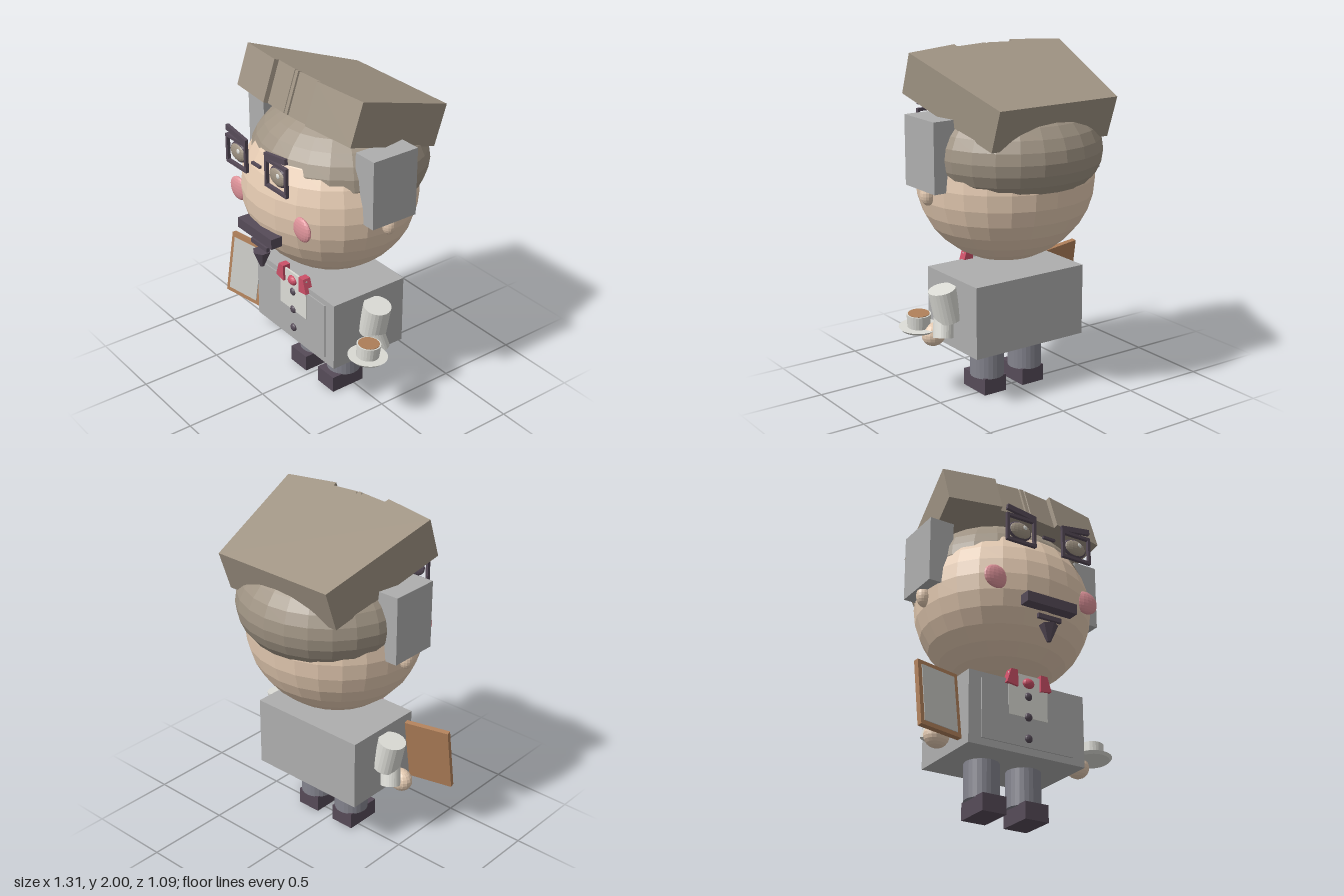
import * as THREE from 'three';

const mat = (name, color) => {
  const m = new THREE.MeshStandardMaterial({ color });
  m.name = name;
  return m;
};

export function createModel() {
  const hair = mat('hair brown', 0xa09484);
  const skin = mat('skin', 0xe6ccb3);
  const grey = mat('cloth grey', 0xaeaeae);
  const white = mat('shirt white', 0xdcdcd6);
  const page = mat('page grey', 0xc6c6c2);
  const dark = mat('dark plum', 0x564b58);
  const pink = mat('cheek pink', 0xdf949b);
  const red = mat('collar red', 0xcc5068);
  const wood = mat('wood brown', 0xb0805a);
  const trousers = mat('trouser grey', 0x84848e);

  const model = new THREE.Group();
  const root = new THREE.Group(); // centre line of the figure
  root.name = 'figure';
  root.position.x = 0.025;
  model.add(root);

  // Faceted mesh helper
  const add = (name, geo, material, pos = [0, 0, 0], rot = [0, 0, 0], parent = root) => {
    const g = geo.index ? geo.toNonIndexed() : geo;
    g.computeVertexNormals();
    const mesh = new THREE.Mesh(g, material);
    mesh.name = name;
    mesh.position.set(...pos);
    mesh.rotation.set(...rot);
    parent.add(mesh);
    return mesh;
  };
  const box = (w, h, d) => new THREE.BoxGeometry(w, h, d);
  const ball = (rx, ry, rz, seg = 16) =>
    new THREE.SphereGeometry(1, seg, Math.round(seg * 2 / 3)).scale(rx, ry, rz);
  const tube = (rt, rb, h, seg = 24) => new THREE.CylinderGeometry(rt, rb, h, seg);
  const extrude = (points, depth, holes = []) => {
    const s = new THREE.Shape(points.map(p => new THREE.Vector2(...p)));
    holes.forEach(h => s.holes.push(new THREE.Path(h.map(p => new THREE.Vector2(...p)))));
    return new THREE.ExtrudeGeometry(s, { depth, bevelEnabled: false });
  };
  const rect = (w, h) => [[-w / 2, -h / 2], [w / 2, -h / 2], [w / 2, h / 2], [-w / 2, h / 2]];

  // Head and rounded hair
  add('head', ball(0.522, 0.485, 0.49, 24), skin, [0, 1.27, 0.02]);
  add('hairCap', ball(0.515, 0.335, 0.495, 24), hair, [0, 1.445, -0.05]);

  // Tilted hair block, with the fringe split into locks
  const half = [[0.012, 0.012], [0.016, 0.035], [0.022, 0.015], [0.186, 0.028], [0.19, 0], [0.515, 0.05]];
  const plan = [
    ...half.slice().reverse().map(([x, y]) => [-x, y]), ...half,
    [0.39, 0.77], [-0.39, 0.77],
  ];
  add('hairBlock', extrude(plan, 0.245).rotateX(-Math.PI / 2), hair, [0, 1.77, 0.327], [-0.331, 0, 0]);

  // Paired features of the head
  for (const s of [-1, 1]) {
    add('sideHair', box(0.15, 0.395, 0.295), grey, [s * 0.495, 1.4625, 0.0225]);
    add('ear', ball(0.045, 0.065, 0.04), skin, [s * 0.52, 1.235, 0.02]);
    add('cheek', ball(0.076, 0.07, 0.024), pink, [s * 0.3, 1.238, 0.433]);
    add('glassesFrame', extrude(rect(0.193, 0.17), 0.02, [rect(0.16, 0.135)]), dark, [s * 0.185, 1.525, 0.5]);
    add('eyeRim', ball(0.078, 0.058, 0.02), dark, [s * 0.185, 1.525, 0.495]);
    add('eye', ball(0.07, 0.05, 0.02), hair, [s * 0.185, 1.525, 0.501]);
    add('eyeGlint', ball(0.015, 0.015, 0.006, 10), white, [s * 0.185 + 0.022, 1.542, 0.517]);
    add('eyebrow', box(0.19, 0.032, 0.02), dark, [s * 0.182, 1.635, 0.51], [0, 0, s * 0.15]);
  }
  add('glassesBridge', box(0.078, 0.015, 0.015), dark, [0, 1.525, 0.51]);
  add('moustache', box(0.322, 0.06, 0.07), dark, [0, 1.115, 0.502]);
  add('mouth', box(0.15, 0.026, 0.02), dark, [0, 1.032, 0.5]);
  add('goatee', tube(0.053, 0.012, 0.098, 6), dark, [0, 0.943, 0.492]);

  // Torso, waistcoat panel and shirt
  add('torso', box(0.745, 0.42, 0.5), grey, [0, 0.52, 0.025]);
  add('waistcoat', box(0.59, 0.345, 0.008), grey, [0, 0.523, 0.278]);
  add('shirtFront', box(0.25, 0.25, 0.012), white, [0, 0.645, 0.28]);
  [0.645, 0.525, 0.4].forEach(y => add('button', ball(0.024, 0.024, 0.016), dark, [0, y, 0.284]));
  add('collarStud', ball(0.037, 0.03, 0.025), red, [0, 0.722, 0.285]);
  const lapel = [[0.075, 0.785], [0.073, 0.688], [0.145, 0.7], [0.118, 0.785]];
  for (const s of [-1, 1]) {
    add('collar', extrude(lapel.map(([x, y]) => [s * x, y]), 0.05), red, [0, 0, 0.25]);

    // Legs and shoes
    add('leg', tube(0.1, 0.1, 0.22), trousers, [s * 0.135, 0.205, 0.02]);
    add('shoe', box(0.15, 0.1, 0.22), dark, [s * 0.135, 0.05, 0.045]);

    // Arms
    add('sleeve', tube(0.08, 0.08, 0.19), white, [s * 0.42, 0.58, 0.02], [0, 0, -s * 0.22]);
    add('cuff', tube(0.058, 0.058, 0.13), white, [s * 0.435, 0.45, 0.018], [0.25, 0, s * 0.2]);
    add('hand', ball(0.073, 0.068, 0.06), skin, [s * 0.458, 0.388, 0.085]);
  }

  // Cup and saucer in the left hand
  const cup = new THREE.Group();
  cup.name = 'cupAndSaucer';
  cup.position.set(0.518, 0.425, 0.148);
  cup.rotation.set(-0.07, 0, -0.03);
  root.add(cup);
  add('saucer', tube(0.115, 0.1, 0.016), white, [0, 0, 0], [0, 0, 0], cup);
  add('cup', tube(0.07, 0.065, 0.08), white, [0, 0.045, 0], [0, 0, 0], cup);
  add('drink', tube(0.061, 0.061, 0.006), wood, [0, 0.0855, 0], [0, 0, 0], cup);

  // Framed board in the right hand
  const board = new THREE.Group();
  board.name = 'framedBoard';
  board.position.set(-0.54, 0.525, 0.24);
  board.rotation.set(-0.15, 0.2, 0);
  root.add(board);
  add('boardFrame', box(0.275, 0.39, 0.03), wood, [0, 0, 0], [0, 0, 0], board);
  add('boardPage', box(0.226, 0.338, 0.008), page, [0, 0, 0.015], [0, 0, 0], board);

  return model;
}
